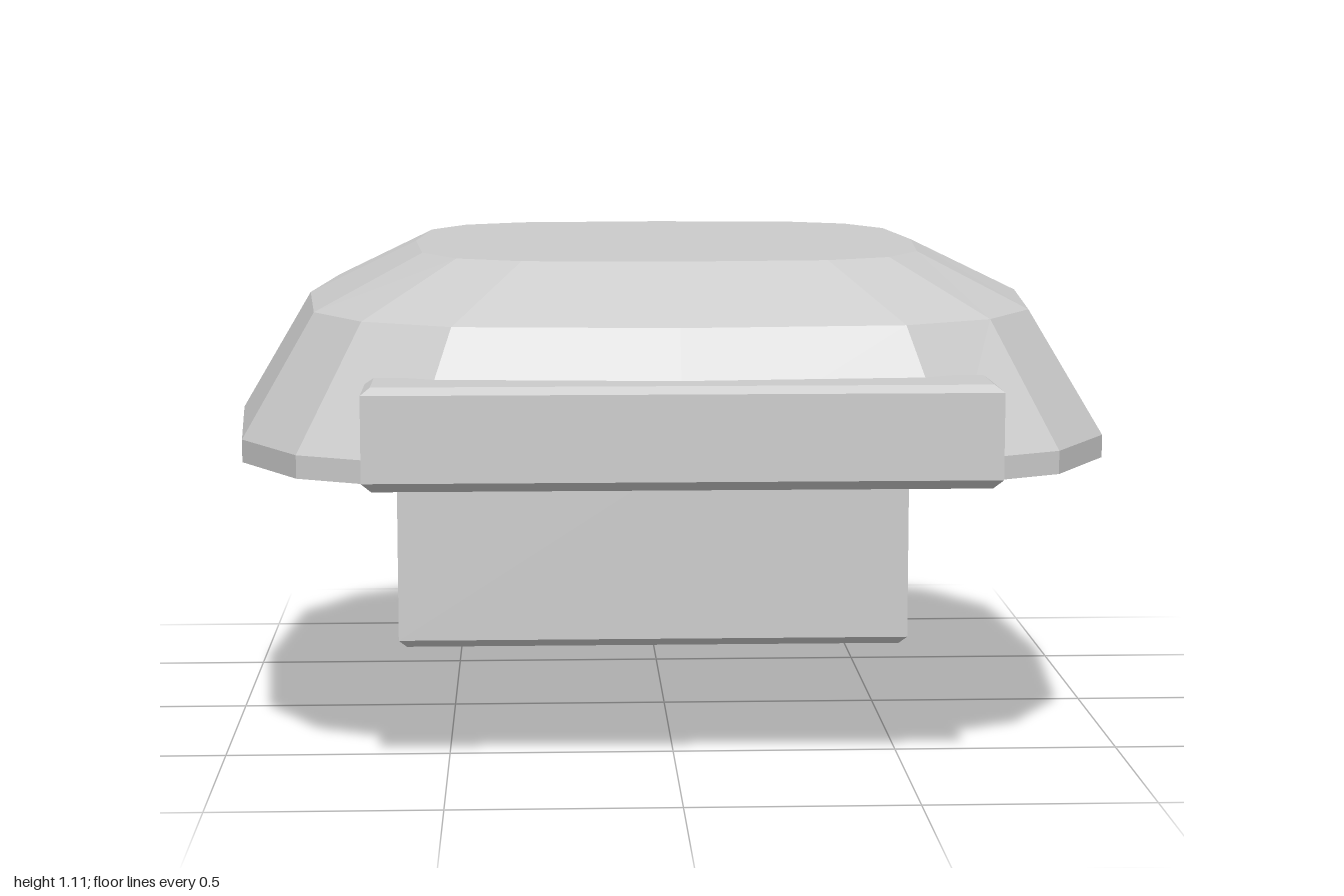
import * as THREE from 'three';

const material = new THREE.MeshStandardMaterial({ color: 0xcccccc, flatShading: true, side: THREE.DoubleSide });

// Joins closed rings of [x, y, z] points, listed bottom to top, into a flat-shaded skin
function loft(rings, capBottom, capTop) {
  const pos = [];
  const tri = (a, b, c) => pos.push(...a, ...b, ...c);
  const n = rings[0].length;
  for (let r = 0; r < rings.length - 1; r++) {
    for (let i = 0; i < n; i++) {
      const j = (i + 1) % n;
      const [a, b, c, d] = [rings[r][i], rings[r][j], rings[r + 1][j], rings[r + 1][i]];
      tri(a, b, c);
      tri(a, c, d);
    }
  }
  const low = rings[0], high = rings[rings.length - 1];
  for (let i = 1; i < n - 1; i++) {
    if (capTop) tri(high[0], high[i], high[i + 1]);
    if (capBottom) tri(low[0], low[i + 1], low[i]);
  }
  const g = new THREE.BufferGeometry();
  g.setAttribute('position', new THREE.Float32BufferAttribute(pos, 3));
  g.computeVertexNormals();
  return g;
}

// Mirrors a quarter outline (from +x round to +z) into a full 16-point ring
function squircleRing(y, quarter, cz) {
  const half = [...quarter, ...quarter.slice(0, -1).reverse().map(([x, z]) => [-x, z])];
  const full = [...half, ...half.slice(1, -1).reverse().map(([x, z]) => [x, -z])];
  return full.reverse().map(([x, z]) => [x, y, z + cz]);
}

// Block with bevelled top and bottom rims and sharp upright edges
function bevelledBlock(name, halfW, y0, y1, z0, z1, bevel) {
  const ring = (y, s) => [
    [-halfW + s, y, z1 - s], [halfW - s, y, z1 - s], [halfW - s, y, z0 + s], [-halfW + s, y, z0 + s],
  ];
  const rings = [ring(y0, bevel), ring(y0 + bevel, 0), ring(y1 - 0.015, 0), ring(y1, bevel)];
  const mesh = new THREE.Mesh(loft(rings, true, true), material);
  mesh.name = name;
  return mesh;
}

export function createModel() {
  const group = new THREE.Group();
  group.name = 'domedCover';

  // Hollow faceted dome, open underneath
  const rim = [[0.99, 0], [0.945, 0.565], [0.81, 0.81], [0.57, 0.945], [0, 0.99]];
  const shoulder = [[0.83, 0], [0.79, 0.48], [0.675, 0.69], [0.48, 0.81], [0, 0.85]];
  const crown = [[0.582, 0], [0.555, 0.355], [0.475, 0.515], [0.333, 0.592], [0, 0.617]];
  const rings = [[0.67, rim], [0.72, rim], [0.99, shoulder], [1.11, crown]]
    .map(([y, quarter]) => squircleRing(y, quarter, -0.01));
  const dome = new THREE.Mesh(loft(rings, false, true), material);
  dome.name = 'domeShell';
  group.add(dome);

  // Short lip at the front, tall plate at the back
  group.add(bevelledBlock('frontLip', 0.663, 0.668, 0.885, 0.795, 1.0, 0.02));
  group.add(bevelledBlock('backPlate', 0.663, 0, 0.885, -0.93, -0.66, 0.02));

  return group;
}
